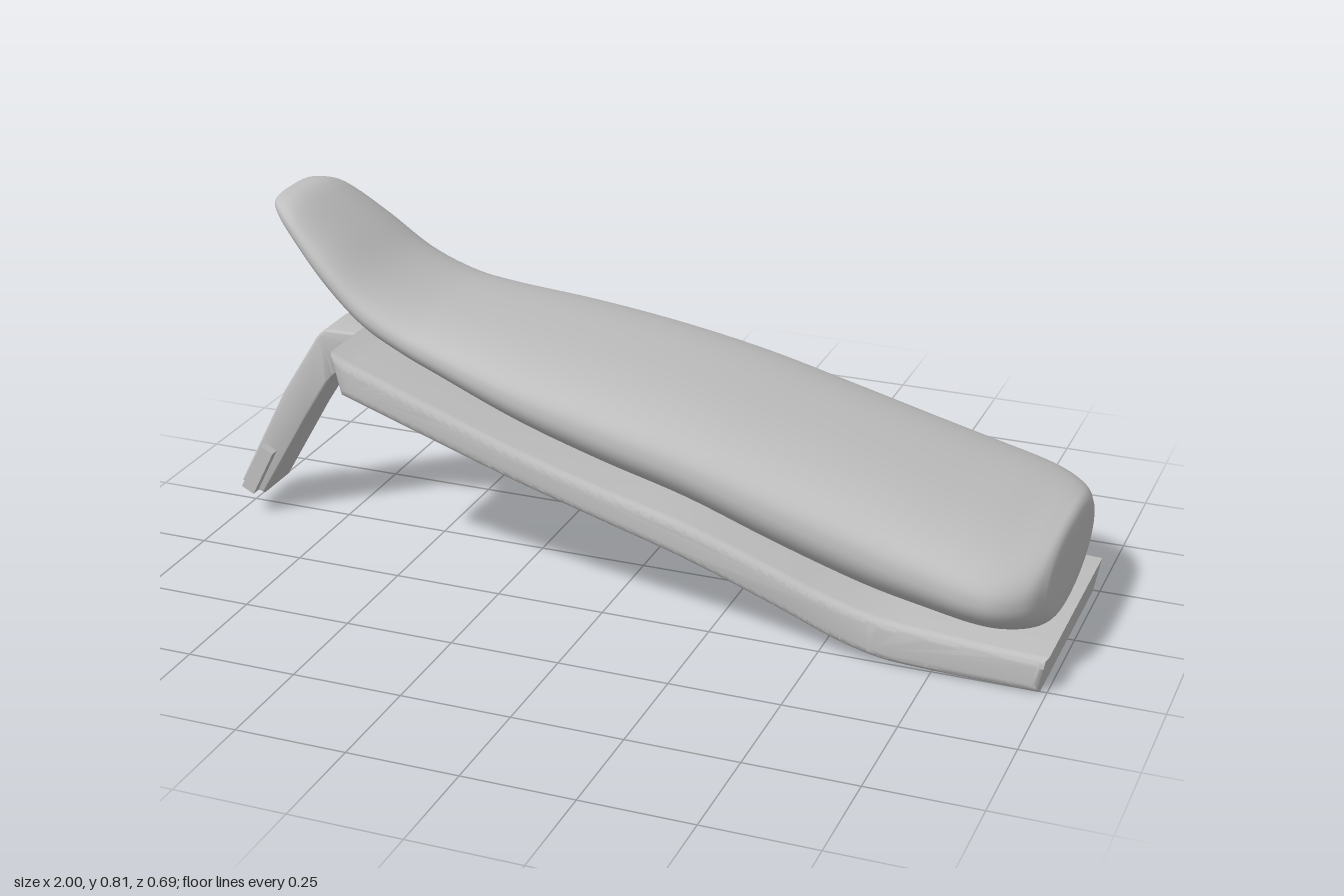
import * as THREE from 'three';
import { toCreasedNormals } from 'three/addons/utils/BufferGeometryUtils.js';

const grey = new THREE.MeshStandardMaterial({ color: 0xbfbfbf });
grey.name = 'grey';

// Cushion stations: x, top height, bottom height, half width
const STATIONS = [
  [-0.863, 0.797, 0.797, 0], [-0.86, 0.809, 0.783, 0.07], [-0.84, 0.815, 0.755, 0.108],
  [-0.79, 0.806, 0.703, 0.147], [-0.7, 0.742, 0.61, 0.182], [-0.6, 0.664, 0.53, 0.203],
  [-0.5, 0.617, 0.483, 0.218], [-0.4, 0.595, 0.445, 0.236], [-0.2, 0.568, 0.375, 0.281],
  [0, 0.538, 0.315, 0.304], [0.2, 0.499, 0.262, 0.315], [0.4, 0.449, 0.19, 0.324],
  [0.6, 0.394, 0.13, 0.333], [0.75, 0.35, 0.105, 0.34], [0.84, 0.324, 0.093, 0.342],
  [0.9, 0.306, 0.089, 0.329], [0.95, 0.293, 0.088, 0.288], [0.975, 0.283, 0.094, 0.238],
  [0.984, 0.255, 0.12, 0.19], [0.985, 0.19, 0.19, 0],
];

// Loft of rounded cross-sections along x
function cushionGeometry() {
  const curve = (pick) => new THREE.CatmullRomCurve3(STATIONS.map(pick), false, 'catmullrom', 0.5);
  const heights = curve(([x, t, b]) => new THREE.Vector3(x, t, b));
  const widths = curve(([x, , , w]) => new THREE.Vector3(x, w, 0));
  const rings = (STATIONS.length - 1) * 5, sides = 64;
  const positions = [], index = [];
  for (let j = 0; j <= rings; j++) {
    const { x, y: top, z: bottom } = heights.getPoint(j / rings);
    const half = Math.max(0, widths.getPoint(j / rings).y);
    const mid = bottom + (top - bottom) * 0.56;
    for (let i = 0; i < sides; i++) {
      const a = (i / sides) * Math.PI * 2, c = Math.cos(a), s = Math.sin(a);
      const e = s > 0 ? 2 / 2.5 : 1; // upper half is squarer than the lower
      const up = Math.pow(Math.abs(s), e) * (s > 0 ? top - mid : bottom - mid);
      positions.push(x, mid + up, Math.sign(c) * Math.pow(Math.abs(c), e) * half);
      if (j < rings) {
        const k = (i + 1) % sides, p = j * sides, q = p + sides;
        index.push(p + i, q + i, q + k, p + i, q + k, p + k);
      }
    }
  }
  const g = new THREE.BufferGeometry();
  g.setAttribute('position', new THREE.Float32BufferAttribute(positions, 3));
  g.setIndex(index);
  g.computeVertexNormals();
  return g;
}

// Side profile extruded across z with rounded rims
function slab(shape, halfWidth, bevel) {
  const g = new THREE.ExtrudeGeometry(shape, {
    depth: 2 * (halfWidth - bevel), curveSegments: 24,
    bevelThickness: bevel, bevelSize: bevel, bevelOffset: -bevel, bevelSegments: 5,
  });
  g.translate(0, 0, bevel - halfWidth);
  return toCreasedNormals(g, 0.6);
}

const vectors = (list) => list.map(([x, y]) => new THREE.Vector2(x, y));

function panShape() {
  const s = new THREE.Shape();
  s.moveTo(-0.62, 0.43);
  s.splineThru(vectors([[-0.4, 0.355], [-0.2, 0.288], [0, 0.228], [0.2, 0.168], [0.4, 0.095],
    [0.52, 0.047], [0.62, 0.018], [0.72, 0.008], [0.985, 0.001]]));
  s.lineTo(1, 0.083);
  s.splineThru(vectors([[0.75, 0.098], [0.62, 0.112], [0.5, 0.145], [0.4, 0.182], [0.2, 0.252],
    [0, 0.305], [-0.2, 0.365], [-0.4, 0.435], [-0.6, 0.508]]));
  s.lineTo(-0.642, 0.528);
  s.closePath();
  return s;
}

function armShape() {
  const s = new THREE.Shape();
  s.moveTo(-0.998, 0.078);
  s.lineTo(-0.94, 0.053);
  s.lineTo(-0.82, 0.262);
  s.lineTo(-0.755, 0.365);
  s.quadraticCurveTo(-0.735, 0.395, -0.7, 0.404);
  s.quadraticCurveTo(-0.625, 0.418, -0.62, 0.46);
  s.lineTo(-0.635, 0.498);
  s.lineTo(-0.752, 0.495);
  s.quadraticCurveTo(-0.77, 0.49, -0.785, 0.465);
  s.lineTo(-0.872, 0.325);
  s.closePath();
  return s;
}

export function createModel() {
  const model = new THREE.Group();
  model.name = 'seat';
  const add = (name, geometry) => {
    const mesh = new THREE.Mesh(geometry, grey);
    mesh.name = name;
    model.add(mesh);
    return mesh;
  };

  add('cushion', cushionGeometry());
  add('basePan', slab(panShape(), 0.268, 0.02));
  add('supportArm', slab(armShape(), 0.066, 0.008));

  // Side tabs at the foot of the arm
  for (const side of [1, -1]) {
    const tab = add(side > 0 ? 'leftTab' : 'rightTab', new THREE.BoxGeometry(0.034, 0.125, 0.03));
    tab.position.set(-0.942, 0.122, side * 0.073);
    tab.rotation.z = -0.47;
  }
  return model;
}
